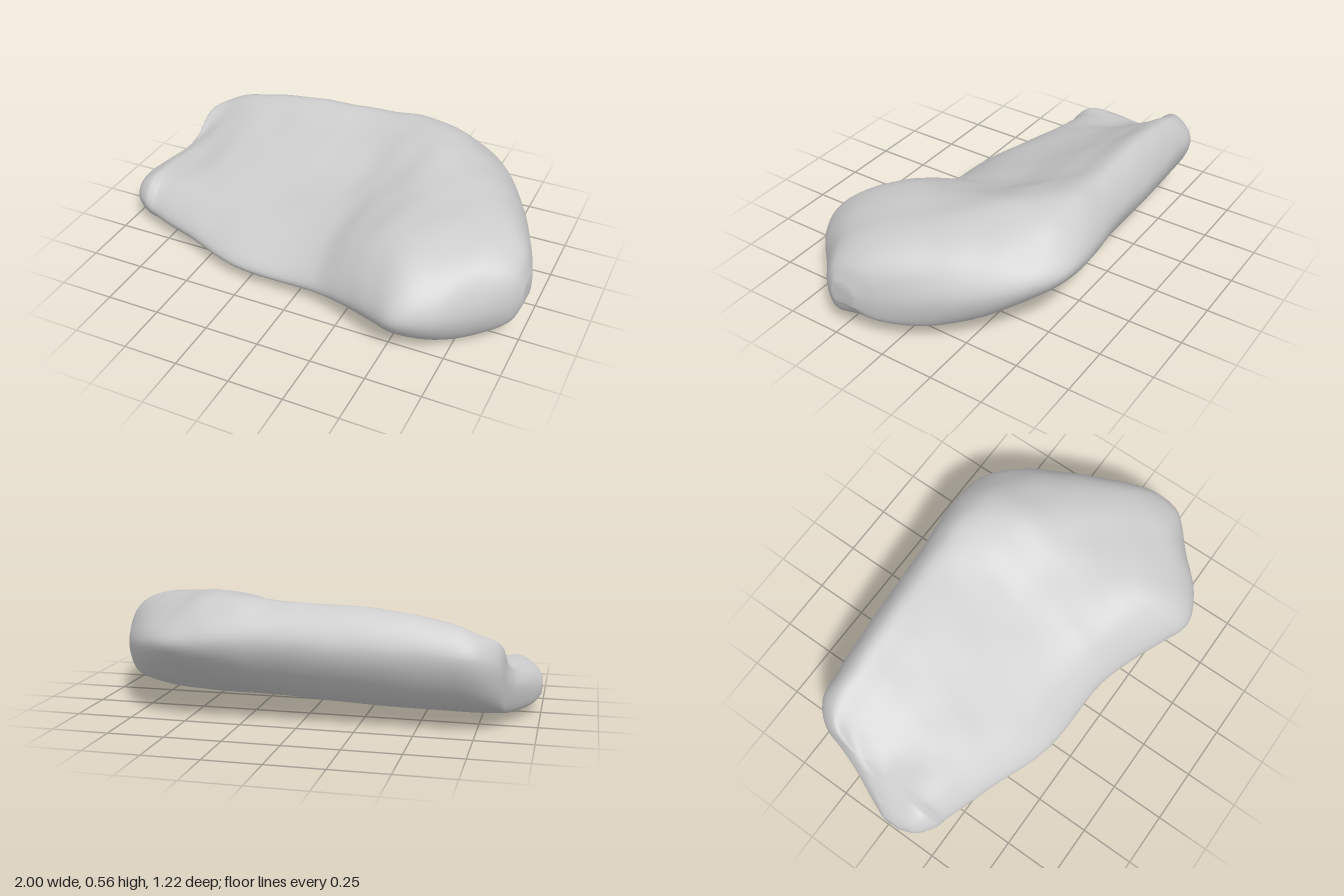
import * as THREE from 'three';

// Cross-sections of the slab, from its right end to its left end:
// x, back z, front z, then heights of: back edge, back crest, shoulder, middle, front top, front edge
const SECTIONS = [
  [-1, -0.02, 0.08, 0.13, 0.15, 0.16, 0.16, 0.15, 0.12],
  [-0.97, -0.09, 0.15, 0.14, 0.18, 0.195, 0.2, 0.18, 0.13],
  [-0.9, -0.25, 0.205, 0.18, 0.22, 0.235, 0.24, 0.22, 0.13],
  [-0.87, -0.34, 0.215, 0.23, 0.27, 0.25, 0.25, 0.22, 0.12],
  [-0.84, -0.44, 0.22, 0.3, 0.38, 0.29, 0.26, 0.22, 0.11],
  [-0.75, -0.52, 0.25, 0.33, 0.43, 0.36, 0.285, 0.22, 0.1],
  [-0.6, -0.54, 0.3, 0.35, 0.48, 0.415, 0.325, 0.22, 0.1],
  [-0.3, -0.565, 0.405, 0.36, 0.52, 0.455, 0.35, 0.21, 0.09],
  [0.1, -0.585, 0.43, 0.38, 0.535, 0.49, 0.395, 0.27, 0.1],
  [0.27, -0.605, 0.49, 0.38, 0.545, 0.53, 0.44, 0.35, 0.14],
  [0.42, -0.61, 0.56, 0.37, 0.52, 0.55, 0.48, 0.39, 0.18],
  [0.55, -0.585, 0.61, 0.36, 0.47, 0.52, 0.49, 0.39, 0.2],
  [0.7, -0.47, 0.55, 0.33, 0.43, 0.48, 0.485, 0.38, 0.2],
  [0.85, -0.25, 0.41, 0.28, 0.37, 0.43, 0.45, 0.37, 0.19],
  [0.96, 0, 0.31, 0.24, 0.32, 0.36, 0.37, 0.33, 0.2],
  [1, 0.13, 0.25, 0.24, 0.27, 0.28, 0.28, 0.27, 0.22],
];
const TOP_U = [0, 0.11, 0.28, 0.5, 0.86, 1]; // where the heights lie from back to front
const BOTTOM_U = [0.87, 0.5, 0.13];

// Underside: a slight arch, curving up to the back, the front, both ends and the back left corner
function underside(x, z) {
  const arch = 0.02 * Math.exp(-(((x - 0.15) / 0.3) ** 2));
  const back = 0.66 * Math.min(z, 0) ** 2;
  const front = 0.9 * Math.max(z - 0.3, 0) ** 2;
  const ends = Math.max(-x - 0.75, 0) ** 2 + 1.1 * Math.max(x - 0.7, 0) ** 2;
  const corner = 0.5 * Math.max(0.75 * x - 0.65 * z - 0.36, 0) ** 2;
  return 0.012 + arch + back + front + ends + corner;
}

// Control loop of one section: over the top to the front, then back underneath
function controlLoop([x, zb, zf, ...heights], i) {
  const atZ = (u) => zb + (zf - zb) * u;
  const tip = i === 0 || i === SECTIONS.length - 1;
  const top = heights.map((y, k) => new THREE.Vector3(x, y, atZ(TOP_U[k])));
  const bottom = BOTTOM_U.map((u) => new THREE.Vector3(x, tip ? heights[5] - 0.03 : underside(x, atZ(u)), atZ(u)));
  return [...top, ...bottom];
}

// Gentle weathering of the surface
function weather(p) {
  const a = Math.sin(11 * p.x + 5 * p.z + 1) * Math.sin(13 * p.z - 4 * p.x);
  const b = Math.sin(27 * p.x + 9 * p.y) * Math.sin(23 * p.z + 15 * p.y + 2);
  p.y += (0.003 * a + 0.002 * b) * THREE.MathUtils.smoothstep(p.y, 0.02, 0.2);
}

function slabGeometry(rings, sides) {
  const loops = SECTIONS.map(controlLoop);
  const rails = loops[0].map((_, k) => new THREE.CatmullRomCurve3(loops.map((l) => l[k])));
  const positions = [];
  const index = [];
  for (let i = 0; i <= rings; i++) {
    const loop = new THREE.CatmullRomCurve3(rails.map((r) => r.getPoint(i / rings)), true);
    for (let j = 0; j < sides; j++) {
      const p = loop.getPoint(j / sides);
      weather(p);
      positions.push(p.x, Math.max(p.y, 0), p.z);
      if (i === rings) continue;
      const a = i * sides + j;
      const c = i * sides + ((j + 1) % sides);
      index.push(a, c, a + sides, c, c + sides, a + sides);
    }
  }
  // Close both tips with a small fan
  for (let j = 1; j < sides - 1; j++) {
    const e = rings * sides;
    index.push(0, j + 1, j, e, e + j, e + j + 1);
  }
  const geometry = new THREE.BufferGeometry();
  geometry.setAttribute('position', new THREE.Float32BufferAttribute(positions, 3));
  geometry.setIndex(index);
  geometry.computeVertexNormals();
  return geometry;
}

export function createModel() {
  const group = new THREE.Group();
  group.name = 'rock';
  const slab = new THREE.Mesh(slabGeometry(90, 72), new THREE.MeshStandardMaterial({ color: 0xcccccc }));
  slab.name = 'stoneSlab';
  group.add(slab);
  return group;
}
